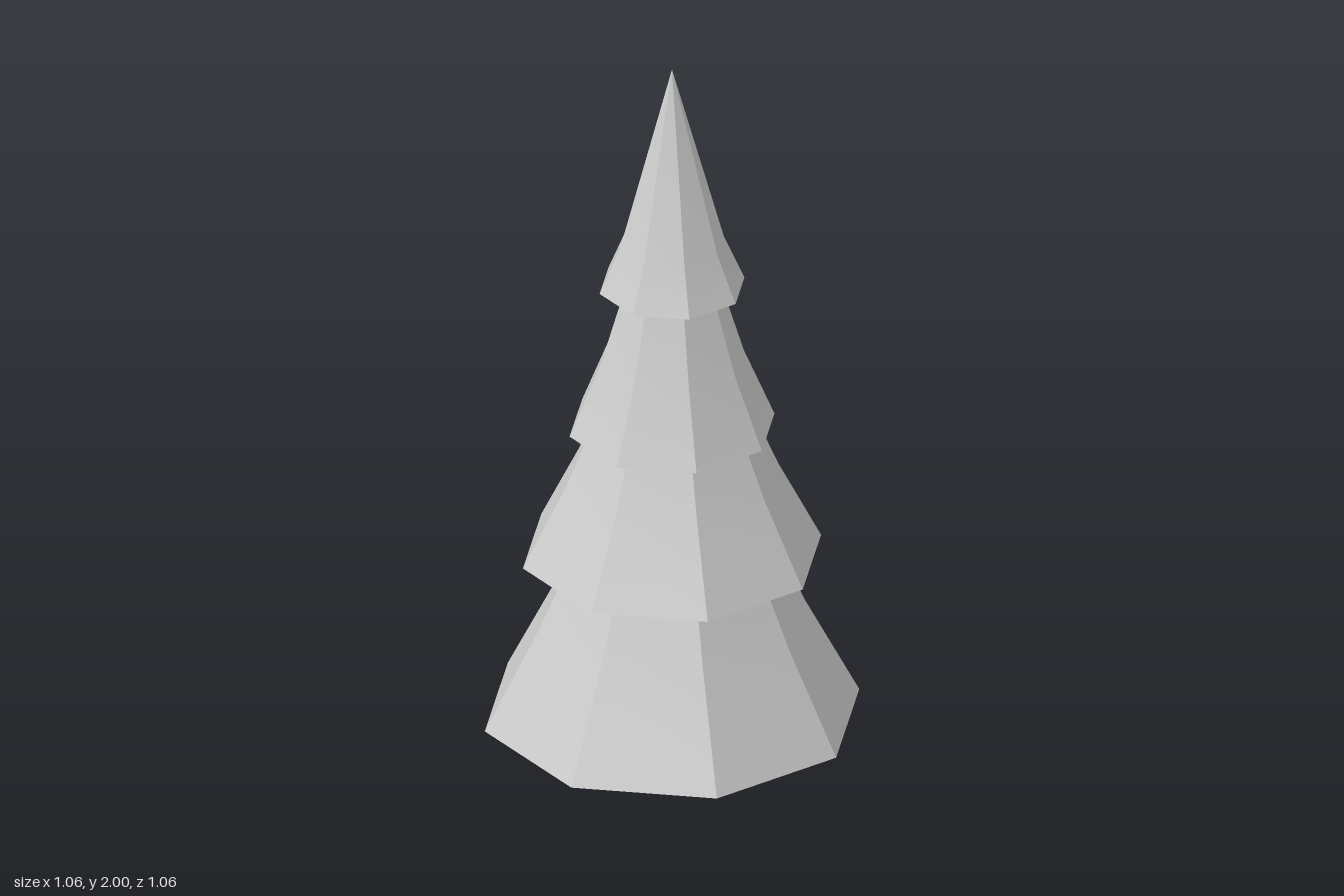
import * as THREE from 'three';
import { toCreasedNormals } from 'three/addons/utils/BufferGeometryUtils.js';

const SIDES = 8;

export function createModel() {
  const tree = new THREE.Group();
  tree.name = 'firTree';

  const grey = new THREE.MeshStandardMaterial({ color: 0xcccccc });
  grey.name = 'plain grey';
  const greyInside = new THREE.MeshStandardMaterial({ color: 0xcccccc, side: THREE.BackSide });
  greyInside.name = 'plain grey inside';

  const add = (name, geometry, material = grey) => {
    const mesh = new THREE.Mesh(geometry, material);
    mesh.name = name;
    tree.add(mesh);
  };

  // Branch tiers: each flares out towards its lower edge, [radius, height] from the bottom up
  const tiers = [
    [[0.53, 0], [0.375, 0.3], [0.29, 0.495]],
    [[0.29, 0.495], [0.422, 0.495], [0.3, 0.735], [0.235, 0.89]],
    [[0.235, 0.89], [0.29, 0.89], [0.203, 1.1], [0.135, 1.325]],
    [[0.135, 1.325], [0.205, 1.325], [0.147, 1.46], [0, 2]],
  ];
  tiers.forEach((profile, i) => {
    const points = profile.map(([r, y]) => new THREE.Vector2(r, y));
    add(`branchTier${i + 1}`, toCreasedNormals(new THREE.LatheGeometry(points, SIDES), 0.5));
  });

  // Underside: octagon with a square socket for the trunk
  const ring = (r, n, offset) => Array.from({ length: n }, (_, i) => {
    const a = offset + (i / n) * Math.PI * 2;
    return new THREE.Vector2(r * Math.cos(a), r * Math.sin(a));
  });
  const base = new THREE.Shape(ring(0.53, SIDES, 0));
  base.holes.push(new THREE.Path(ring(0.083, 4, Math.PI / 4)));
  add('underside', new THREE.ShapeGeometry(base).rotateX(Math.PI / 2));

  // Socket walls and ceiling, seen from inside
  const socket = new THREE.CylinderGeometry(0.083, 0.083, 0.3, 4, 1, true, Math.PI / 4);
  add('trunkSocket', toCreasedNormals(socket.translate(0, 0.15, 0), 0.5), greyInside);
  const ceiling = new THREE.ShapeGeometry(new THREE.Shape(ring(0.083, 4, Math.PI / 4)));
  add('socketCeiling', ceiling.rotateX(Math.PI / 2).translate(0, 0.3, 0));

  return tree;
}
